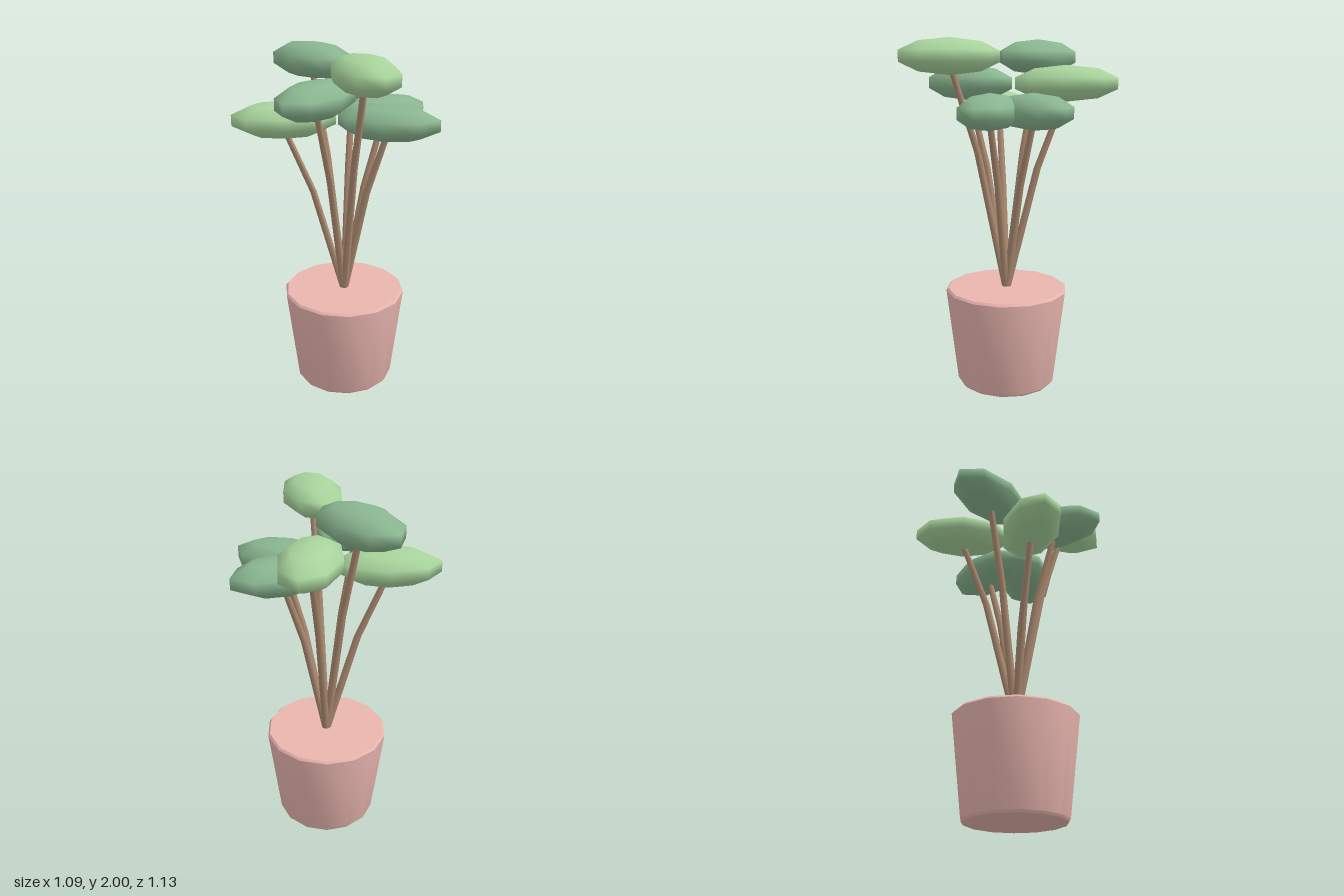
import * as THREE from 'three';
import { toCreasedNormals } from 'three/addons/utils/BufferGeometryUtils.js';

const mat = (color) => new THREE.MeshStandardMaterial({ color });

// Stem: a slim cylinder of three rings, moved to the base, the bend and the tip
function stemGeometry(base, bend, tip) {
  const geo = new THREE.CylinderGeometry(0.018, 0.023, 2, 8, 2);
  const pos = geo.attributes.position;
  const rings = [base, bend, tip];
  for (let i = 0; i < pos.count; i++) {
    const c = rings[Math.round(pos.getY(i) + 1)];
    pos.setXYZ(i, pos.getX(i) + c.x, c.y, pos.getZ(i) + c.z);
  }
  geo.computeVertexNormals();
  return geo;
}

export function createModel() {
  const group = new THREE.Group();
  const potMat = mat(0xe8b5ae);
  const stemMat = mat(0xab8a70);
  const lightLeaf = mat(0xa8d49c);
  const darkLeaf = mat(0x8ab690);
  const cx = 0.003, cz = -0.035, potTop = 0.578;

  // Tapered pot with softened edges and a closed top
  const profile = [
    [0, 0], [0.278, 0], [0.289, 0.014], [0.355, 0.565], [0.344, potTop], [0, potTop],
  ].map(([x, y]) => new THREE.Vector2(x, y));
  const pot = new THREE.Mesh(toCreasedNormals(new THREE.LatheGeometry(profile, 14), 0.6), potMat);
  pot.name = 'pot';
  pot.position.set(cx, 0, cz);
  group.add(pot);

  // Leaves: centre x, y, z, pointing direction x, z, material
  const leaves = [
    [-0.053, 1.9, -0.288, -0.062, -0.277, darkLeaf],
    [-0.067, 1.9, 0.283, -0.062, 0.277, lightLeaf],
    [0.214, 1.755, -0.29, 0.171, -0.23, lightLeaf],
    [-0.229, 1.755, 0.072, -0.256, 0.128, darkLeaf],
    [0.26, 1.61, -0.038, 0.284, 0, darkLeaf],
    [0.157, 1.61, 0.172, 0.188, 0.213, darkLeaf],
    [-0.294, 1.61, -0.177, -0.256, -0.128, lightLeaf],
  ];
  const leafGeo = new THREE.SphereGeometry(1, 8, 5);
  const base = new THREE.Vector3(cx, potTop - 0.02, cz);

  leaves.forEach(([x, y, z, dx, dz, material], i) => {
    const leaf = new THREE.Mesh(leafGeo, material);
    leaf.name = `leaf${i + 1}`;
    leaf.position.set(x, y, z);
    leaf.scale.set(0.299, 0.1, 0.17);
    leaf.rotation.y = Math.atan2(-dz, dx);
    group.add(leaf);

    // Each stem rises steeply, then leans out to its leaf
    const tip = new THREE.Vector3(x, y - 0.05, z);
    const bend = base.clone().lerp(tip, 0.53);
    bend.y = base.y + (tip.y - base.y) * 0.63;
    const stem = new THREE.Mesh(stemGeometry(base, bend, tip), stemMat);
    stem.name = `stem${i + 1}`;
    group.add(stem);
  });

  return group;
}
